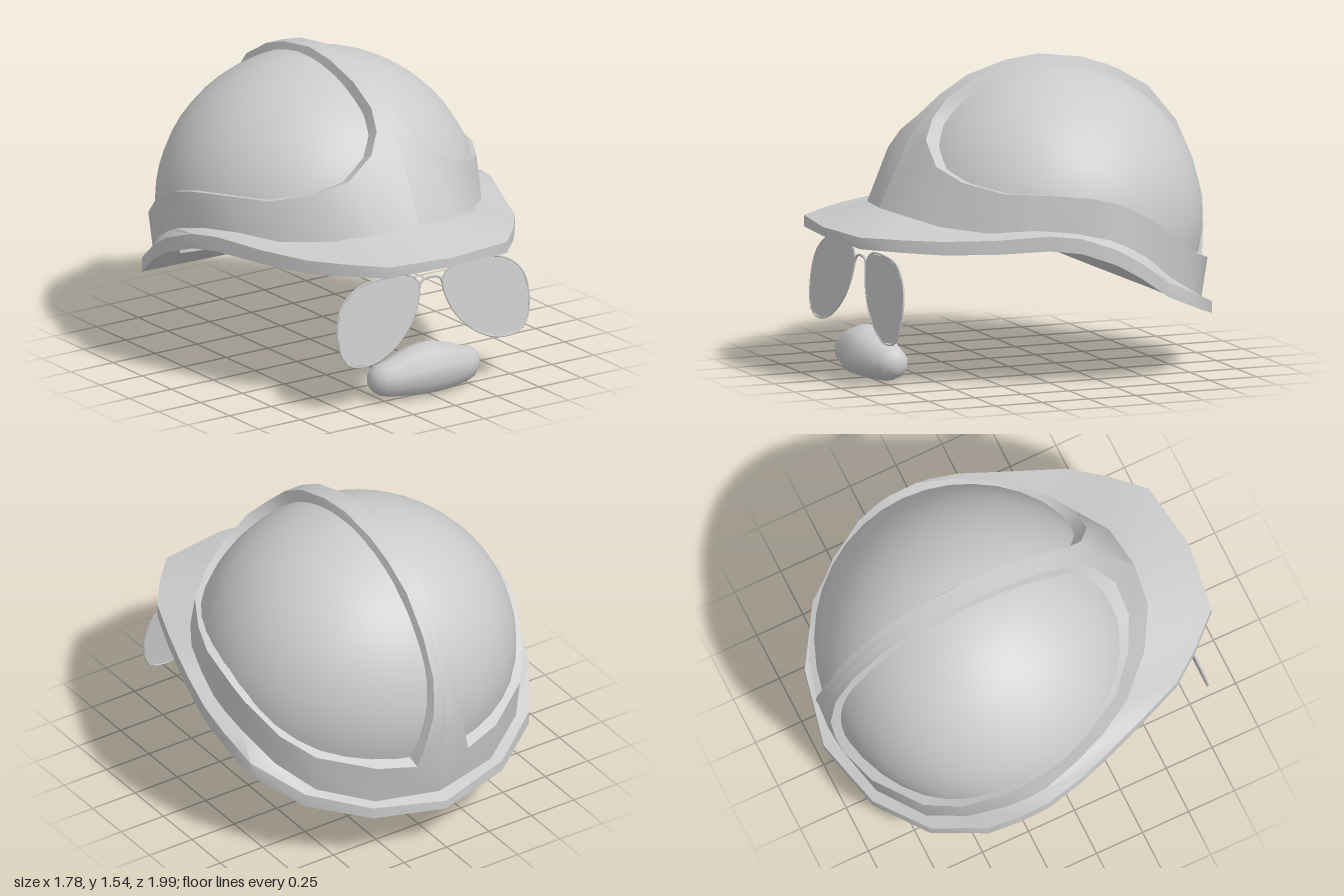
import * as THREE from 'three';
import { toCreasedNormals } from 'three/addons/utils/BufferGeometryUtils.js';

const material = new THREE.MeshStandardMaterial({ color: 0xcccccc, side: THREE.DoubleSide });
const V = (x, y, z) => new THREE.Vector3(x, y, z);
const points = (list) => list.map((p) => V(...p));

// Skin a list of equally long rows of points
function loft(rows, crease) {
  const n = rows[0].length, index = [];
  for (let j = 0; j < rows.length - 1; j++) {
    for (let i = 0; i < n - 1; i++) {
      const a = j * n + i, b = a + n;
      index.push(a, b, b + 1, a, b + 1, a + 1);
    }
  }
  const g = new THREE.BufferGeometry().setFromPoints(rows.flat());
  g.setIndex(index);
  return toCreasedNormals(g, crease);
}

function add(group, name, geometry) {
  const mesh = new THREE.Mesh(geometry, material);
  mesh.name = name;
  group.add(mesh);
}

const mirrored = (row) => row.map((p) => V(-p.x, p.y, p.z)).reverse();
const fullLoop = (half) => [...half, ...mirrored(half).slice(1)];

// Dome ellipsoid, slightly longer towards the front
const centre = V(0, 0.75, -0.2);
const radii = (z) => V(0.8, 0.75, z > 0 ? 0.79 : 0.76);

// Wall thickness: the inside repeats the outside, smaller
const inward = (p) => V(p.x * 0.82, 0.93 + (p.y - 0.93) * 0.78, -0.2 + (p.z + 0.2) * 0.88);

// Centre line of the ridge from back to front: y, z
const ridge = [[0.65, -0.99], [0.8, -1], [0.98, -0.96], [1.18, -0.87], [1.36, -0.72], [1.46, -0.55],
  [1.51, -0.4], [1.54, -0.18], [1.52, 0], [1.46, 0.2], [1.37, 0.35], [1.28, 0.44]];

// Half outlines, from the front round the left side to the back
const panelEdge = points([[0.16, 1.19, 0.51], [0.3, 1.08, 0.515], [0.45, 1.02, 0.44], [0.62, 0.98, 0.29],
  [0.74, 0.975, 0.08], [0.81, 0.96, -0.1], [0.82, 0.92, -0.25], [0.815, 0.88, -0.33], [0.8, 0.83, -0.42],
  [0.72, 0.7, -0.6], [0.6, 0.61, -0.75], [0.35, 0.54, -0.91], [0.15, 0.51, -0.965]]);
const crownRim = points([[0, 0.84, 0.69], [0.22, 0.835, 0.66], [0.42, 0.8, 0.54], [0.6, 0.785, 0.36],
  [0.72, 0.805, 0.17], [0.79, 0.79, -0.02], [0.83, 0.75, -0.19], [0.825, 0.71, -0.28], [0.8, 0.65, -0.39],
  [0.72, 0.52, -0.56], [0.59, 0.41, -0.73], [0.34, 0.33, -0.88], [0, 0.3, -0.94]]);
const brimEdge = points([[0, 0.765, 0.99], [0.35, 0.765, 0.94], [0.5, 0.765, 0.78], [0.62, 0.765, 0.62],
  [0.72, 0.77, 0.38], [0.82, 0.79, 0.13], [0.865, 0.775, -0.02], [0.89, 0.71, -0.2], [0.87, 0.63, -0.34],
  [0.82, 0.52, -0.5], [0.66, 0.41, -0.74], [0.38, 0.325, -0.92], [0, 0.275, -1]]);
const innerRim = crownRim.map((p) => inward(p).add(V(0, -0.1, 0)));

function domeRows() {
  const rows = [];
  for (let j = 0; j <= 16; j++) {
    const row = [];
    for (let i = 0; i <= 40; i++) {
      const a = (i / 40) * Math.PI * 2;
      const low = Math.asin(0.25 - 0.6 * (1 - Math.cos(a)) / 2);
      const e = THREE.MathUtils.lerp(Math.PI / 2, low, j / 16);
      const d = V(Math.sin(a) * Math.cos(e), Math.sin(e), Math.cos(a) * Math.cos(e));
      row.push(d.multiply(radii(d.z)).add(centre));
    }
    rows.push(row);
  }
  return rows;
}

// Raised ridge and band around one recessed panel; the ridge flares at its back foot
function frameRows(rule, rim) {
  const ridgeSide = ridge.map(([y, z], i) => V(
    i === ridge.length - 1 ? 0.08 : 0.05 + Math.max(0, 0.9 - y) * 0.25, y, z));
  const foot = panelEdge.at(-1), footMiddle = V(0, 0.5, -0.975);
  const edge = [foot, ...ridgeSide, panelEdge[0], ...panelEdge, foot];
  const ridgeTop = [footMiddle, ...ridge.map(([y, z]) => V(0, y, z)), V(0, 1.19, 0.525)].map(rule);
  const middle = V(0.5, 1.1, -0.2);
  const step = edge.map((p) => {
    const d = p.clone().lerp(middle, 0.04).sub(centre);
    return d.multiplyScalar(0.99 / d.clone().divide(radii(d.z)).length()).add(centre);
  });
  return [step.map(rule), edge.map(rule), [...ridgeTop, ...rim, ridgeTop[0]]];
}

// Crown: smooth dome under a raised frame, each point passed through a rule
function createCrown(name, rule, rim) {
  const crown = new THREE.Group();
  crown.name = name;
  const frame = frameRows(rule, rim);
  add(crown, 'dome', loft(domeRows().map((row) => row.map(rule)), 1));
  add(crown, 'leftFrame', loft(frame, 0.5));
  add(crown, 'rightFrame', loft(frame.map(mirrored), 0.5));
  return crown;
}

// Brim: top, edge, underside and the wall up to the inner crown
function brimGeometry() {
  const bottom = brimEdge.map((p) => V(p.x, p.y - 0.045 - 0.035 * p.x, p.z));
  const opening = brimEdge.map((p) => V(
    p.x * 0.76,
    p.y - 0.01 - 0.04 * THREE.MathUtils.clamp(p.z / 0.6, -1, 1),
    centre.z + (p.z - centre.z) * (p.z > centre.z ? 0.68 : 0.85)
  ));
  return loft([crownRim, brimEdge, bottom, opening, innerRim].map(fullLoop), 0.75);
}

// Moustache cross-sections: x, top, bottom; the tips bend back
function moustacheGeometry() {
  const half = [[0, 0.267, 0.003], [0.07, 0.255, 0.004], [0.14, 0.235, 0.01], [0.21, 0.205, 0.017],
    [0.265, 0.19, 0.03], [0.3, 0.165, 0.055], [0.313, 0.135, 0.08], [0.315, 0.108, 0.108]];
  const all = [...half.slice(1).reverse().map(([x, t, b]) => [-x, t, b]), ...half];
  return loft(all.map(([x, top, bottom]) => {
    const r = (top - bottom) / 2, row = [];
    for (let i = 0; i <= 10; i++) {
      const a = (i / 10) * Math.PI * 2;
      row.push(V(x, (top + bottom) / 2 + r * Math.cos(a), 0.753 - 0.3 * x * x - 1.05 * r * Math.sin(a)));
    }
    return row;
  }), 1.2);
}

function createGlasses() {
  const glasses = new THREE.Group();
  glasses.name = 'glasses';
  const outline = [[0.07, 0.59], [0.115, 0.637], [0.295, 0.651], [0.44, 0.628], [0.54, 0.545], [0.57, 0.435],
    [0.555, 0.315], [0.51, 0.252], [0.38, 0.238], [0.25, 0.29], [0.14, 0.39], [0.08, 0.505]];
  for (const s of [1, -1]) {
    const side = s > 0 ? 'left' : 'right';
    const shape = new THREE.Shape(outline.map(([x, y]) => new THREE.Vector2(s * x, y)));
    const lens = new THREE.ExtrudeGeometry(shape, { depth: 0.004, bevelEnabled: false });
    add(glasses, side + 'Lens', lens.translate(0, 0, -0.002));
    const curve = new THREE.CatmullRomCurve3(outline.map(([x, y]) => V(s * x, y, 0)), true);
    add(glasses, side + 'Rim', new THREE.TubeGeometry(curve, 36, 0.005, 5, true));
  }
  const bridge = new THREE.CatmullRomCurve3(points([[-0.075, 0.55, 0], [-0.06, 0.59, 0], [-0.035, 0.607, 0],
    [0.035, 0.607, 0], [0.06, 0.59, 0], [0.075, 0.55, 0]]));
  add(glasses, 'bridge', new THREE.TubeGeometry(bridge, 16, 0.007, 5));
  glasses.rotation.x = -0.12;
  glasses.position.set(0, 0.004, 0.859);
  return glasses;
}

export function createModel() {
  const model = new THREE.Group();
  model.name = 'helmetWithGlassesAndMoustache';
  const helmet = new THREE.Group();
  helmet.name = 'helmet';
  helmet.add(createCrown('crown', (p) => p.clone(), crownRim), createCrown('innerCrown', inward, innerRim));
  add(helmet, 'brim', brimGeometry());
  model.add(helmet, createGlasses());
  add(model, 'moustache', moustacheGeometry());
  return model;
}
